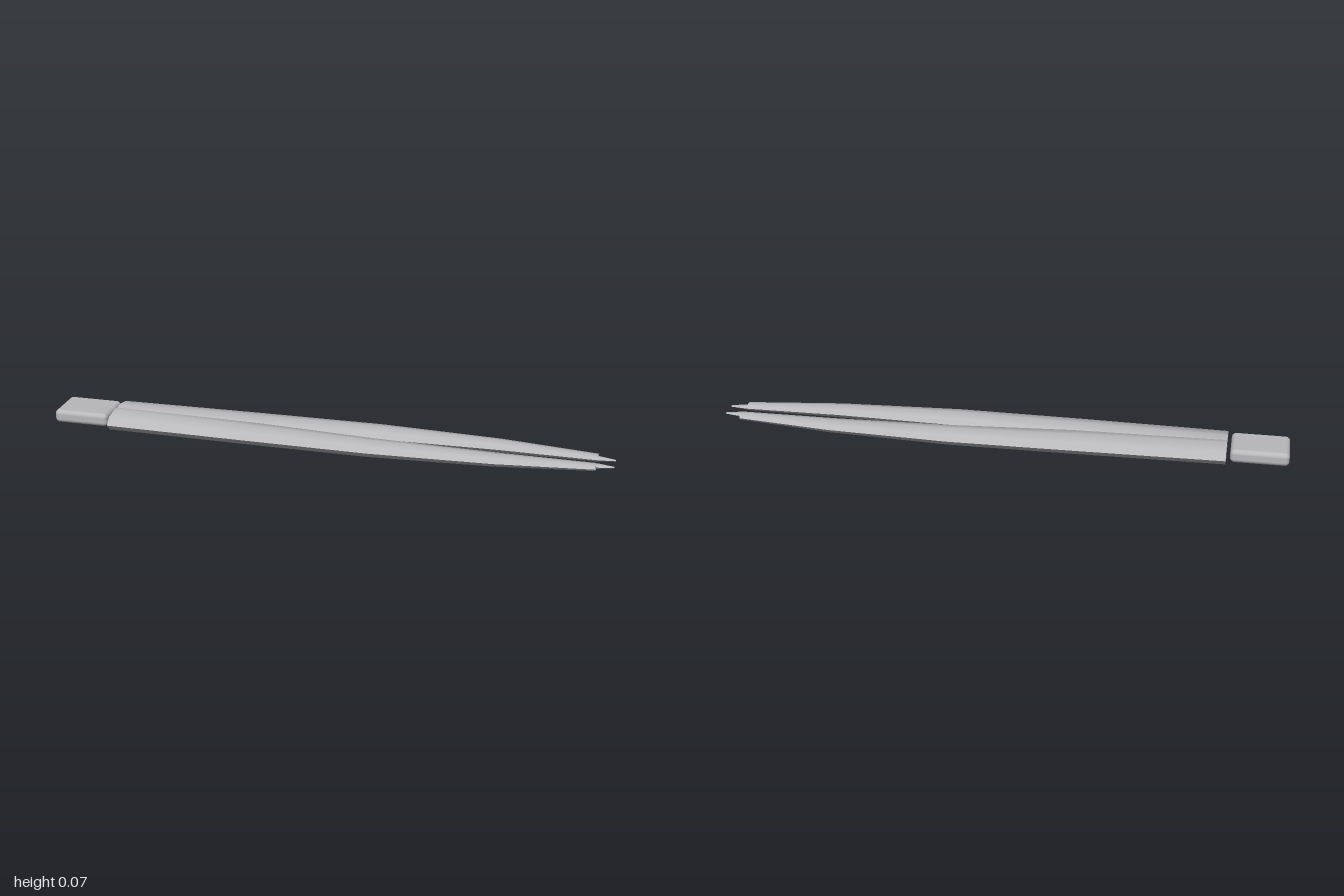
import * as THREE from 'three';
import { toCreasedNormals } from 'three/addons/utils/BufferGeometryUtils.js';
import { RoundedBoxGeometry } from 'three/addons/geometries/RoundedBoxGeometry.js';

const MID_Y = 0.033;

// Tapered oval bar along x; each station is [x, centre z, half width, half height]
function taperedBar(stations, sides, side) {
  const n = stations.length - 1;
  const geo = new THREE.CylinderGeometry(1, 1, 1, sides, n);
  geo.rotateZ(-Math.PI / 2);
  const pos = geo.attributes.position;
  for (let i = 0; i < pos.count; i++) {
    const [x, c, w, h] = stations[Math.round((pos.getX(i) + 0.5) * n)];
    pos.setXYZ(i, x, MID_Y + pos.getY(i) * h, side * c + pos.getZ(i) * w);
  }
  return toCreasedNormals(geo, 1.2);
}

export function createModel() {
  const group = new THREE.Group();
  const steel = new THREE.MeshStandardMaterial({ color: 0xb8b8bb });
  steel.name = 'steel';

  const add = (name, geo) => {
    const mesh = new THREE.Mesh(geo, steel);
    mesh.name = name;
    group.add(mesh);
    return mesh;
  };

  // Two bowed arms that merge at the back, each with a fine point
  const arm = [
    [-0.787, 0.027, 0.08, 0.033],
    [-0.28, 0.047, 0.07, 0.031],
    [0.17, 0.067, 0.056, 0.027],
    [0.6, 0.063, 0.041, 0.02],
    [0.94, 0.041, 0.024, 0.011],
  ];
  const tip = [
    [0.91, 0.034, 0.015, 0.009],
    [0.945, 0.032, 0.014, 0.008],
    [1.0, 0.03, 0.006, 0.002],
  ];
  for (const [label, side] of [['front', 1], ['back', -1]]) {
    add(label + 'Arm', taperedBar(arm, 8, side));
    add(label + 'Tip', taperedBar(tip, 6, side));
  }

  // Rounded block at the rear end
  add('endBlock', new RoundedBoxGeometry(0.2, 0.048, 0.155, 4, 0.016))
    .position.set(-0.9, 0.036, 0);

  return group;
}
